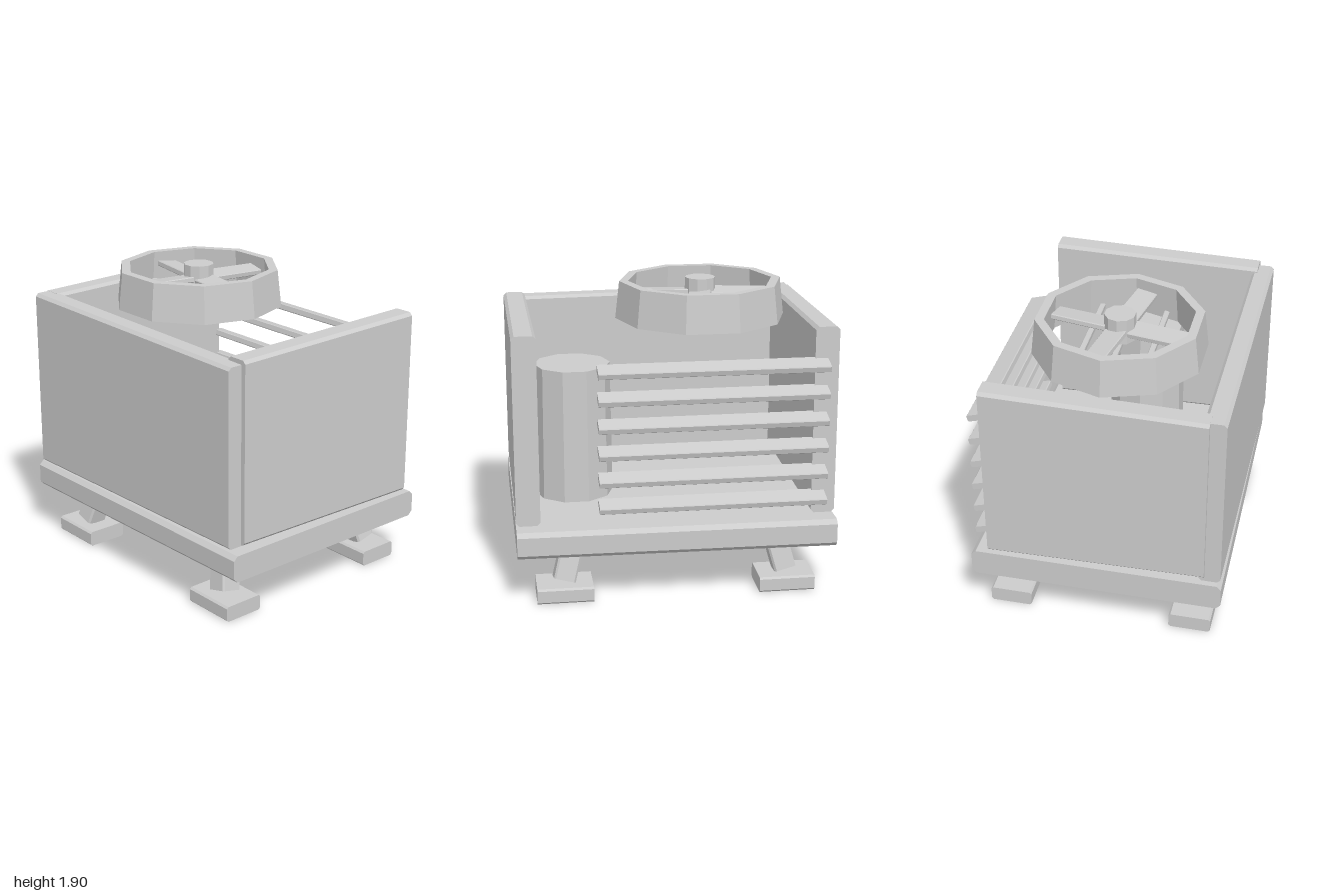
import * as THREE from 'three';

const grey = new THREE.MeshStandardMaterial({ color: 0xcccccc });
grey.name = 'plain grey';

// Give every face its own normals
function faceted(geo) {
  const g = geo.index ? geo.toNonIndexed() : geo;
  g.computeVertexNormals();
  return g;
}

// Bar along z with chamfered long edges; the +z end shrinks by taper
function barGeo(length, w, h, c, taper = 1) {
  const x = w / 2, y = h / 2;
  const shape = new THREE.Shape([
    [x - c, -y], [x, -y + c], [x, y - c], [x - c, y],
    [-x + c, y], [-x, y - c], [-x, -y + c], [-x + c, -y],
  ].map(([a, b]) => new THREE.Vector2(a, b)));
  const geo = new THREE.ExtrudeGeometry(shape, { depth: length, bevelEnabled: false });
  geo.translate(0, 0, -length / 2);
  const p = geo.attributes.position;
  for (let i = 0; i < p.count; i++) {
    if (p.getZ(i) > 0) p.setXY(i, p.getX(i) * taper, p.getY(i) * taper);
  }
  return faceted(geo);
}

// Same bar laid along x, small end at +x
const barX = (...args) => barGeo(...args).rotateY(Math.PI / 2);

// Ten-sided drum with corners on the x axis
const drum = (top, bottom, h) =>
  faceted(new THREE.CylinderGeometry(top, bottom, h, 10).rotateY(Math.PI / 2));

export function createModel() {
  const model = new THREE.Group();
  model.name = 'outdoorFanUnit';

  function add(name, geo, x, y, z, parent = model) {
    const mesh = new THREE.Mesh(geo, grey);
    mesh.name = name;
    mesh.position.set(x, y, z);
    parent.add(mesh);
    return mesh;
  }

  // Base tray and casing panels
  add('base', barX(2, 1.6, 0.178, 0.028, 0.965), 0, 0.408, 0);
  add('frontPanel', barX(1.935, 0.14, 1.185, 0.02, 0.955), -0.002, 1.0975, 0.72);
  for (const s of [-1, 1]) {
    add(s > 0 ? 'leftPanel' : 'rightPanel', barGeo(1.38, 0.15, 1.2, 0.02, 0.96), s * 0.925, 1.115, 0);
  }

  // Feet with splayed struts
  const up = new THREE.Vector3(0, 1, 0);
  for (const sx of [-1, 1]) {
    for (const sz of [-1, 1]) {
      add('foot', barX(0.355, 0.27, 0.1, 0.012), sx * 0.705, 0.05, sz * 0.59);
      const low = new THREE.Vector3(sx * 0.707, 0.112, sz * 0.592);
      const high = new THREE.Vector3(sx * 0.64, 0.365, sz * 0.533);
      const mid = low.clone().lerp(high, 0.5);
      const geo = barGeo(low.distanceTo(high), 0.14, 0.14, 0.012).rotateX(-Math.PI / 2);
      const strut = add('strut', geo, mid.x, mid.y, mid.z);
      strut.quaternion.setFromUnitVectors(up, high.clone().sub(low).normalize());
    }
  }

  // Rear louvers, sloping down and outward
  for (let i = 0; i < 6; i++) {
    const louver = add('louver', barX(1.42, 0.125, 0.042, 0.005, 0.965), -0.22, 0.633 + i * 0.171, -0.723);
    louver.rotation.x = -0.28;
  }

  // Compressor drum inside the casing
  add('compressor', drum(0.246, 0.256, 0.875), 0.59, 0.925, 0);

  // Fan assembly
  const fan = new THREE.Group();
  fan.name = 'fan';
  fan.position.set(-0.245, 0, 0);
  model.add(fan);

  const profile = [[0.55, 1.65], [0.523, 1.89], [0.465, 1.89], [0.485, 1.65], [0.55, 1.65]]
    .map(([r, y]) => new THREE.Vector2(r, y));
  add('fanRing', faceted(new THREE.LatheGeometry(profile, 10, Math.PI / 2)), 0, 0, 0, fan);
  add('hub', drum(0.098, 0.1, 0.165), 0, 1.8225, 0, fan);

  // Four slightly pitched blades
  for (let i = 0; i < 4; i++) {
    const arm = new THREE.Group();
    arm.name = 'bladeArm';
    arm.rotation.y = -0.175 + i * Math.PI / 2;
    fan.add(arm);
    const blade = add('blade', barX(0.36, 0.142, 0.036, 0.005, 0.965), 0.255, 1.81, 0, arm);
    blade.rotation.x = 0.12;
  }

  // Guard bars across the ring, below the blades
  for (const z of [-0.21, 0, 0.21]) {
    add('guardBar', barX(z ? 0.83 : 0.95, 0.036, 0.036, 0.005), 0, 1.69, z, fan);
  }

  return model;
}
